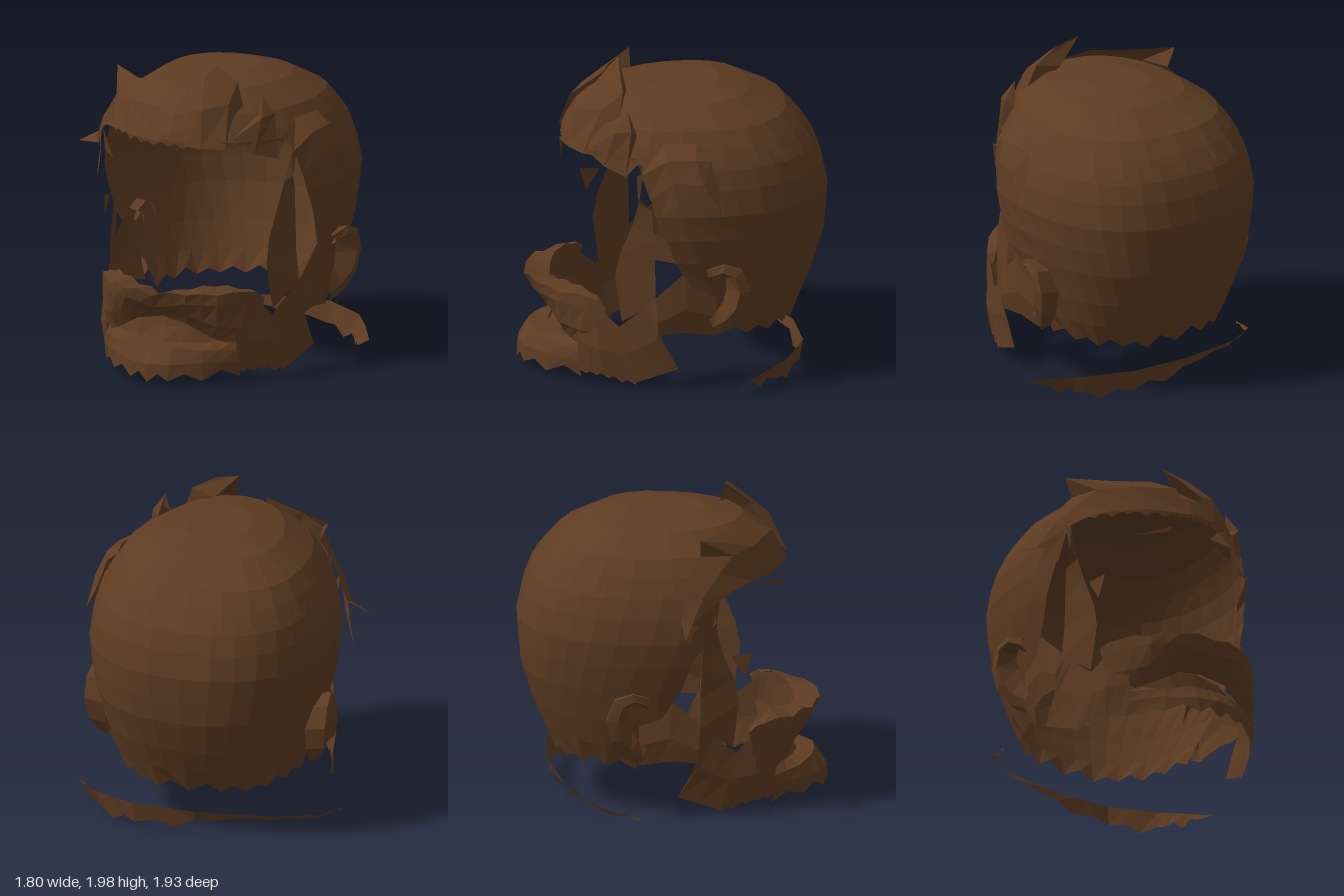
import * as THREE from 'three';

const brown = new THREE.MeshStandardMaterial({ color: 0x5e3c22, flatShading: true, side: THREE.DoubleSide });
brown.name = 'brown hair';

// Small seeded noise used for ragged hair edges
let seed = 7;
const rnd = () => (seed = (seed * 16807) % 2147483647) / 2147483647;

// Splits every span of a point row into n parts
function refine(row, n) {
  const out = [];
  for (let i = 0; i < row.length - 1; i++)
    for (let k = 0; k < n; k++)
      out.push(row[i].map((v, a) => v + (row[i + 1][a] - v) * k / n));
  out.push(row[row.length - 1].slice());
  return out;
}

// Moves the points of a row up and down alternately to make hair tips
function jag(row, amount) {
  return row.map(([x, y, z], i) => [x, y + (i % 2 ? 1 : -1) * amount * (0.2 + 0.8 * rnd()), z]);
}

// Faceted open surface through rows of matching points
function sheet(name, rows) {
  const pos = [];
  for (let r = 0; r < rows.length - 1; r++)
    for (let c = 0; c < rows[r].length - 1; c++) {
      const a = rows[r][c], b = rows[r][c + 1], d = rows[r + 1][c], e = rows[r + 1][c + 1];
      pos.push(...a, ...d, ...b, ...b, ...d, ...e);
    }
  const g = new THREE.BufferGeometry();
  g.setAttribute('position', new THREE.Float32BufferAttribute(pos, 3));
  g.computeVertexNormals();
  const m = new THREE.Mesh(g, brown);
  m.name = name;
  return m;
}

const flip = rows => rows.map(r => r.map(([x, y, z]) => [-x, y, z]));

// Point of a head ring: t = 0 at the back, +-PI at the front
const ZC = -0.1, FULL = 0.82;
function ringPoint(y, w, back, front, t) {
  const c = Math.cos(t), s = Math.sin(t), e = c > 0 ? FULL : 1;
  const x = w * Math.sign(s) * Math.pow(Math.abs(s), e);
  const z = c > 0 ? ZC - (ZC - back) * Math.pow(c, e) : ZC - (front - ZC) * c;
  return [x, y, z];
}
function ring(y, w, back, front, tMax, n) {
  return Array.from({ length: n + 1 }, (_, i) => ringPoint(y, w, back, front, tMax * (2 * i / n - 1)));
}

export function createModel() {
  const model = new THREE.Group();
  model.name = 'hairAndBeard';
  // Mirrored parts sit slightly to the left of the origin
  const head = new THREE.Group();
  head.name = 'mirroredHair';
  head.position.x = 0.045;
  model.add(head);
  const add = (name, rows) => head.add(sheet(name, rows));
  const addLock = (name, rows) => model.add(sheet(name, rows));
  const addPair = (name, rows) => {
    add('left' + name, rows);
    add('right' + name, flip(rows));
  };

  // Crown: closed rings, straight over the forehead
  const crown = [[1.86, 0, ZC, ZC], [1.855, 0.2, -0.3, 0.2], [1.81, 0.4, -0.48, 0.44],
    [1.69, 0.58, -0.71, 0.6], [1.59, 0.65, -0.8, 0.66], [1.5, 0.7, -0.87, 0.69]]
    .map(([y, w, b, f]) => ring(y, w, b, f, Math.PI, 22));
  crown[5] = crown[5].map(p => p[2] > 0.3 ? [p[0], 1.52, p[2]] : p);
  add('crown', crown);

  // Ragged fringe along the forehead edge
  const hem = Array.from({ length: 29 }, (_, i) => ringPoint(1.54, 0.7, -0.87, 0.69, Math.PI + (i / 14 - 1) * 1.05));
  add('fringe', [hem, jag(hem.map(([x, y, z]) => [x, 1.51, z]), 0.022)]);

  // Back and sides of the head, open at the face, tucked under the crown
  const shell = [[1.55, 0.67, -0.83, 0.27], [1.47, 0.71, -0.885, 0.25], [1.35, 0.745, -0.93, 0.22],
    [1.19, 0.765, -0.965, 0.19], [1.03, 0.75, -0.955, 0.12], [0.87, 0.72, -0.94, 0.06], [0.65, 0.67, -0.87, -0.08],
    [0.48, 0.62, -0.8, -0.18], [0.35, 0.57, -0.74, -0.22]].map(([y, w, b, edge]) => {
    const s = (edge - ZC) / 0.79;
    const tMax = edge > ZC ? Math.PI / 2 + Math.asin(s) : Math.acos(Math.pow((ZC - edge) / (ZC - b), 1 / FULL));
    return ring(y, w, b, 0.69, tMax, 20);
  });
  shell[8] = jag(shell[8], 0.04);
  add('backOfHead', shell);

  // Strips in front of the ears
  addPair('Sideburn', [
    [[0.68, 1.48, 0.26], [0.66, 1.3, 0.28], [0.63, 1.2, 0.2], [0.63, 1, 0.19], [0.63, 0.8, 0.18], [0.65, 0.6, 0.18]],
    [[0.66, 1.44, 0.3], [0.6, 1.25, 0.28], [0.57, 1.1, 0.31], [0.55, 0.9, 0.39], [0.55, 0.75, 0.42], [0.57, 0.46, 0.38]]]);
  addLock('rightTempleWisp', [[[-0.53, 1.06, 0.38], [-0.5, 1.07, 0.5]], [[-0.53, 1.04, 0.38], [-0.52, 0.92, 0.46]]]);
  addLock('rightBrowWisp', [[[-0.25, 1.42, 0.46], [-0.12, 1.43, 0.68]], [[-0.12, 1.4, 0.66], [0, 1.34, 0.68]]]);

  // Ears: C-shaped rims
  const outer = [[0.83, -0.13], [0.87, -0.24], [0.83, -0.35], [0.7, -0.4], [0.55, -0.37], [0.44, -0.3], [0.39, -0.2]];
  const inner = [[0.74, -0.15], [0.78, -0.21], [0.76, -0.25], [0.68, -0.26], [0.6, -0.24], [0.54, -0.2], [0.48, -0.15]];
  const flare = [0.74, 0.78, 0.79, 0.79, 0.77, 0.72, 0.68];
  addPair('Ear', [
    outer.map(([y, z]) => [0.65, y - 0.02, z]),
    outer.map(([y, z], i) => [flare[i] - 0.01, y, z]),
    outer.map(([y, z], i) => [flare[i], (y + inner[i][0]) / 2, (z + inner[i][1]) / 2]),
    inner.map(([y, z]) => [0.67, y, z])]);

  // Jaw: beard from ear to cheek
  const jawTop = [[0.66, 0.63, -0.2], [0.68, 0.8, 0], [0.67, 0.64, 0.18], [0.63, 0.55, 0.26], [0.58, 0.43, 0.4], [0.52, 0.56, 0.54], [0.45, 0.6, 0.65]];
  const jawMid = [[0.67, 0.5, -0.2], [0.69, 0.56, 0], [0.69, 0.48, 0.17], [0.67, 0.36, 0.17], [0.61, 0.26, 0.36], [0.56, 0.28, 0.52], [0.46, 0.3, 0.64]];
  const jawLow = [[0.63, 0.36, -0.2], [0.66, 0.4, 0], [0.67, 0.39, 0.16], [0.68, 0.17, 0.04], [0.62, 0.07, 0.3], [0.54, 0.11, 0.5], [0.44, 0.11, 0.65]];
  addPair('JawBeard', [jawTop, jawMid, jawLow].map(r => refine(r, 2)));
  const jawHem = refine(jawLow.slice(4), 5);
  addPair('JawTips', [jawHem, jag(jawHem, 0.03)]);

  // Joins a half row to its mirror across the middle of the face
  const whole = half => refine([...half.map(([x, y, z]) => [-x, y, z]), ...half.slice(0, -1).reverse()], 2);

  // Chin beard with a ragged hem
  add('chinBeard', [
    whole([[0.44, 0.3, 0.62], [0.27, 0.28, 0.7], [0.12, 0.27, 0.75], [0, 0.26, 0.76]]),
    whole([[0.46, 0.24, 0.64], [0.29, 0.25, 0.79], [0.13, 0.27, 0.87], [0, 0.27, 0.88]]),
    whole([[0.47, 0.17, 0.64], [0.31, 0.18, 0.81], [0.14, 0.17, 0.93], [0, 0.17, 0.96]]),
    jag(whole([[0.47, 0.09, 0.62], [0.31, 0.09, 0.82], [0.13, 0.09, 0.94], [0, 0.08, 0.965]]), 0.035)]);

  // Moustache folding in at the top and arching over the mouth
  add('moustache', [
    jag(whole([[0.53, 0.57, 0.48], [0.44, 0.63, 0.56], [0.32, 0.64, 0.66], [0.18, 0.62, 0.73], [0, 0.56, 0.76]]), 0.02),
    jag(whole([[0.57, 0.56, 0.48], [0.51, 0.61, 0.58], [0.38, 0.61, 0.75], [0.22, 0.62, 0.87], [0, 0.61, 0.92]]), 0.015),
    whole([[0.56, 0.48, 0.5], [0.5, 0.53, 0.6], [0.38, 0.54, 0.76], [0.21, 0.55, 0.86], [0, 0.51, 0.87]]),
    whole([[0.55, 0.38, 0.51], [0.48, 0.38, 0.63], [0.37, 0.4, 0.74], [0.2, 0.46, 0.8], [0, 0.48, 0.79]]),
    whole([[0.52, 0.28, 0.53], [0.42, 0.27, 0.64], [0.31, 0.32, 0.71], [0.17, 0.4, 0.76], [0, 0.43, 0.75]])]);

  // Hair beneath the lip, filling the mouth
  add('lowerLip', [
    whole([[0.36, 0.36, 0.62], [0.18, 0.43, 0.68], [0, 0.45, 0.7]]),
    whole([[0.38, 0.28, 0.64], [0.18, 0.35, 0.7], [0, 0.36, 0.72]]),
    whole([[0.4, 0.24, 0.64], [0.2, 0.25, 0.72], [0, 0.25, 0.78]])]);

  // Tall quiff rising to a point
  addLock('quiff', [
    [[0.04, 2, 0.33], [0.1, 1.87, 0.47], [0.14, 1.72, 0.62], [0.17, 1.52, 0.71]],
    [[0.04, 2, 0.33], [0.17, 1.9, 0.44], [0.24, 1.74, 0.6], [0.27, 1.51, 0.68]],
    [[0.04, 2, 0.33], [0.2, 1.96, 0.34], [0.36, 1.76, 0.48], [0.4, 1.5, 0.6]],
    [[0.04, 2, 0.33], [0.35, 1.87, 0.34], [0.43, 1.65, 0.38], [0.45, 1.5, 0.5]],
    [[0.04, 2, 0.33], [0.2, 1.84, 0.3], [0.44, 1.64, 0.28], [0.54, 1.5, 0.34]]]);
  addLock('leftSpike', [
    [[0.52, 1.81, 0.33], [0.5, 1.68, 0.36], [0.38, 1.52, 0.58]],
    [[0.52, 1.81, 0.33], [0.56, 1.68, 0.42], [0.54, 1.46, 0.48]],
    [[0.52, 1.81, 0.33], [0.6, 1.7, 0.32], [0.64, 1.42, 0.36]],
    [[0.52, 1.81, 0.33], [0.56, 1.66, 0.28], [0.64, 1.52, 0.26]]]);

  // Lock over the left temple, hanging to a point
  addLock('leftTempleLock', [
    [[0.65, 1.56, 0.24], [0.71, 1.45, 0.27], [0.74, 1.3, 0.22], [0.77, 1.2, 0.16]],
    [[0.63, 1.63, 0.12], [0.76, 1.55, 0.12], [0.81, 1.42, 0.08], [0.83, 1.28, 0.06]],
    [[0.68, 1.63, -0.08], [0.78, 1.56, -0.06], [0.84, 1.42, -0.1], [0.87, 1.22, -0.22]],
    [[0.69, 1.59, -0.14], [0.75, 1.54, -0.16], [0.8, 1.38, -0.2], [0.87, 1.22, -0.23]]]);

  // Swept lock from the forehead out past the right temple
  addLock('rightSweptLock', [
    [[-0.1, 1.84, 0.42], [-0.35, 1.81, 0.34], [-0.58, 1.83, 0.18], [-0.53, 1.71, 0.18], [-0.66, 1.55, 0.1], [-0.74, 1.37, 0.06], [-0.9, 1.28, 0.09]],
    [[-0.05, 1.73, 0.62], [-0.32, 1.71, 0.51], [-0.48, 1.7, 0.38], [-0.56, 1.61, 0.3], [-0.67, 1.49, 0.2], [-0.75, 1.34, 0.13], [-0.9, 1.28, 0.09]],
    [[0, 1.53, 0.71], [-0.26, 1.53, 0.63], [-0.44, 1.52, 0.5], [-0.54, 1.5, 0.4], [-0.62, 1.45, 0.3], [-0.71, 1.31, 0.18], [-0.9, 1.28, 0.09]]]);
  addLock('rightHangingLock', [
    [[-0.7, 1.42, 0.18], [-0.73, 1.25, 0.13], [-0.77, 1.05, 0.1]],
    [[-0.64, 1.4, 0.28], [-0.67, 1.22, 0.24], [-0.77, 1.05, 0.1]]]);

  // Loose band of hair below the nape, thin at its right end
  const nape = [[-0.78, 0.08, -0.2], [-0.72, 0.12, -0.42], [-0.45, 0.17, -0.64], [0, 0.2, -0.77], [0.4, 0.21, -0.78], [0.68, 0.19, -0.64], [0.8, 0.16, -0.5], [0.9, 0.12, -0.36]];
  const drop = [0.01, 0.02, 0.03, 0.07, 0.13, 0.13, 0.08, 0.04];
  const spread = [1, 0.98, 0.97, 0.97, 0.97, 0.95, 0.93, 0.93];
  const napeHem = refine(nape.map(([x, y, z], i) => [x * spread[i], y - drop[i], z * spread[i]]), 3);
  addLock('napeBand', [refine(nape, 3),
    jag(napeHem, 0.01).map(([x, y, z], i) => [x, i % 4 === 2 && x > -0.2 ? y - 0.04 : y, z])]);

  return model;
}
